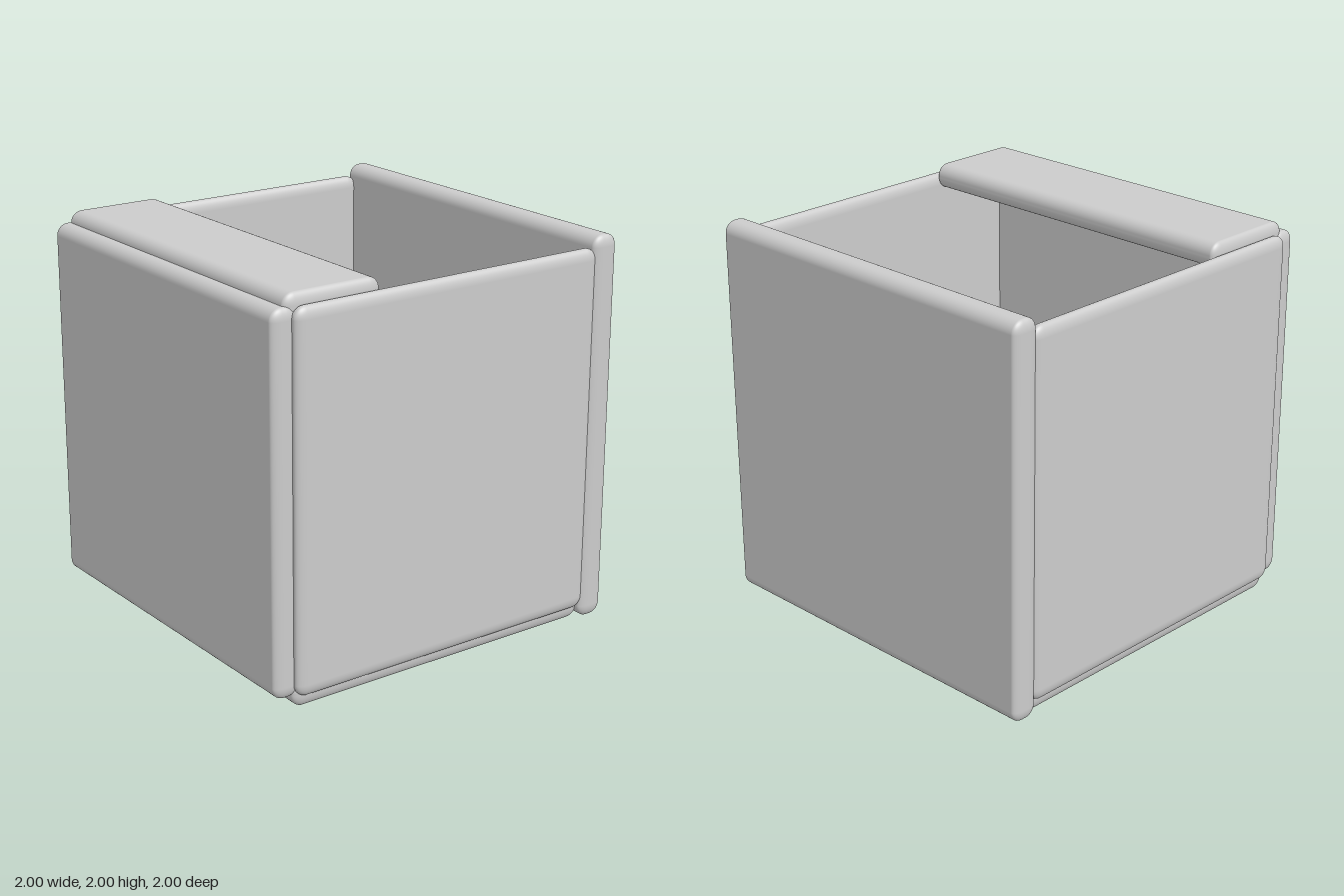
import * as THREE from 'three';
import { RoundedBoxGeometry } from 'three/addons/geometries/RoundedBoxGeometry.js';

const RADIUS = 0.06;
const SQUASH = 0.5; // edge rounding is half as wide along x

export function createModel() {
  const group = new THREE.Group();
  const material = new THREE.MeshStandardMaterial({ color: 0xcccccc });

  // Soft-edged board spanning [min, max] on each axis
  function addBoard(name, [x0, x1], [y0, y1], [z0, z1]) {
    const geometry = new RoundedBoxGeometry((x1 - x0) / SQUASH, y1 - y0, z1 - z0, 6, RADIUS);
    geometry.scale(SQUASH, 1, 1);
    const mesh = new THREE.Mesh(geometry, material);
    mesh.name = name;
    mesh.position.set((x0 + x1) / 2, (y0 + y1) / 2, (z0 + z1) / 2);
    group.add(mesh);
  }

  // Open box: floor, tall back, front and two sides
  addBoard('bottomPanel', [-0.965, 0.965], [0, 0.13], [-0.875, 0.895]);
  addBoard('backPanel', [-1, 1], [0, 2], [-1, -0.855]);
  addBoard('frontPanel', [-0.963, 0.963], [0.065, 1.943], [0.86, 1]);
  addBoard('leftPanel', [0.933, 1], [0.065, 1.943], [-0.875, 0.895]);
  addBoard('rightPanel', [-1, -0.933], [0.065, 1.943], [-0.875, 0.895]);

  // Narrow strip across the top, along the front
  addBoard('topStrip', [-0.95, 0.95], [1.87, 2], [0.395, 0.925]);

  return group;
}
